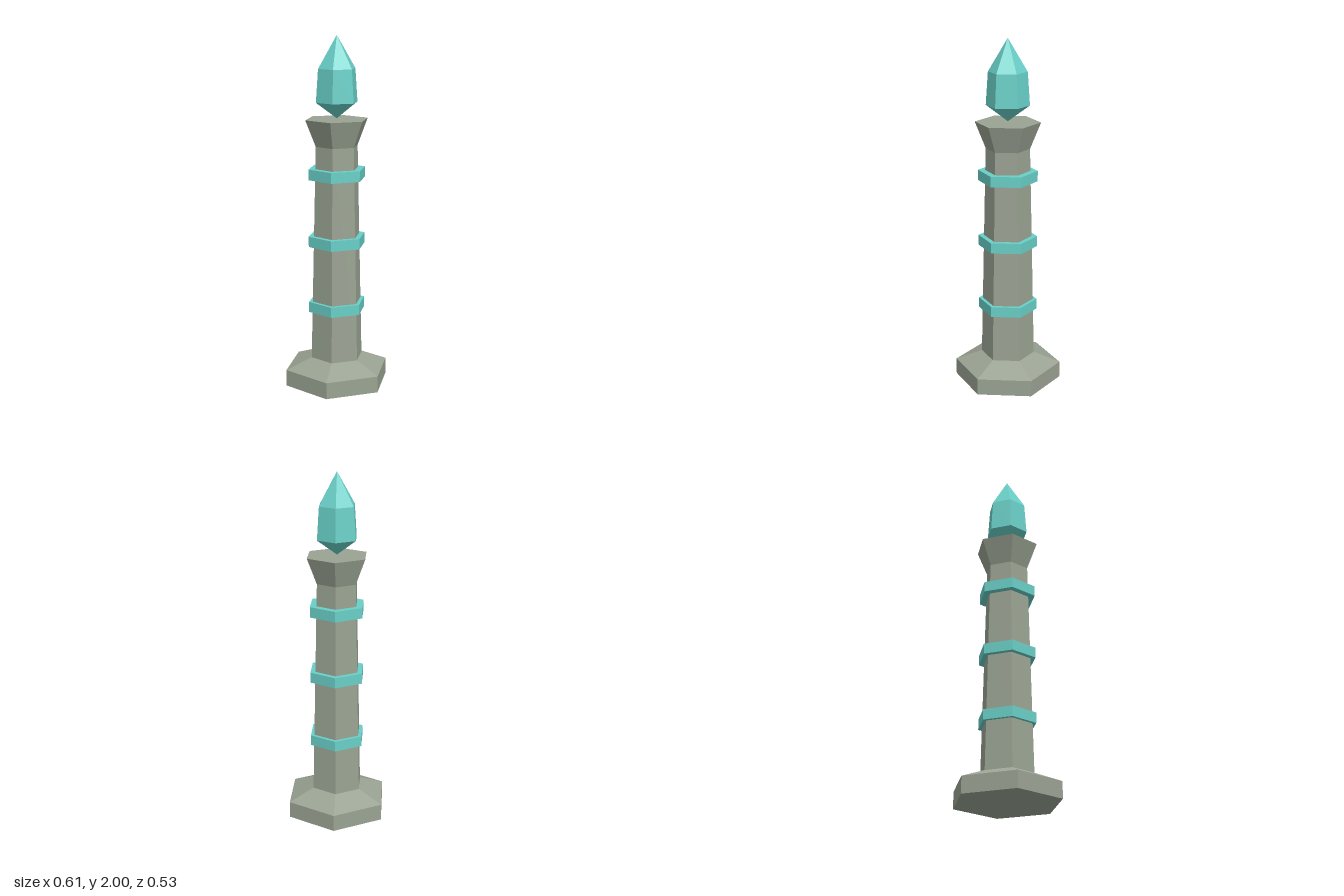
import * as THREE from 'three';

export function createModel() {
  const stone = new THREE.MeshStandardMaterial({ color: 0x9aa393 });
  stone.name = 'stone';
  const crystal = new THREE.MeshStandardMaterial({ color: 0x69d0c8 });
  crystal.name = 'crystal';

  const model = new THREE.Group();
  model.name = 'crystalPillar';

  // Six-sided faceted solid from a bottom-to-top [radius, height] profile, corners on the x axis
  function hexSolid(name, profile, material) {
    const points = profile.map(([r, y]) => new THREE.Vector2(r, y));
    const geometry = new THREE.LatheGeometry(points, 6).rotateY(Math.PI / 6).toNonIndexed();
    geometry.computeVertexNormals();
    const mesh = new THREE.Mesh(geometry, material);
    mesh.name = name;
    model.add(mesh);
  }

  // Plinth with a sloping shoulder
  hexSolid('base', [[0, 0], [0.307, 0], [0.307, 0.095], [0.155, 0.155], [0, 0.155]], stone);

  // Tapering shaft
  hexSolid('shaft', [[0.154, 0.15], [0.124, 1.388]], stone);

  // Flared capital with a flat top
  hexSolid('capital', [[0.124, 1.388], [0.184, 1.538], [0, 1.538]], stone);

  // Three bands around the shaft
  [0.462, 0.847, 1.232].forEach((y, i) => {
    const low = y - 0.03, high = y + 0.03;
    hexSolid(`band${i + 1}`, [[0, low], [0.168, low], [0.168, high], [0, high]], crystal);
  });

  // Pointed crystal balanced on its tip
  hexSolid('crystal', [[0, 1.542], [0.122, 1.632], [0.109, 1.817], [0, 2]], crystal);

  return model;
}
